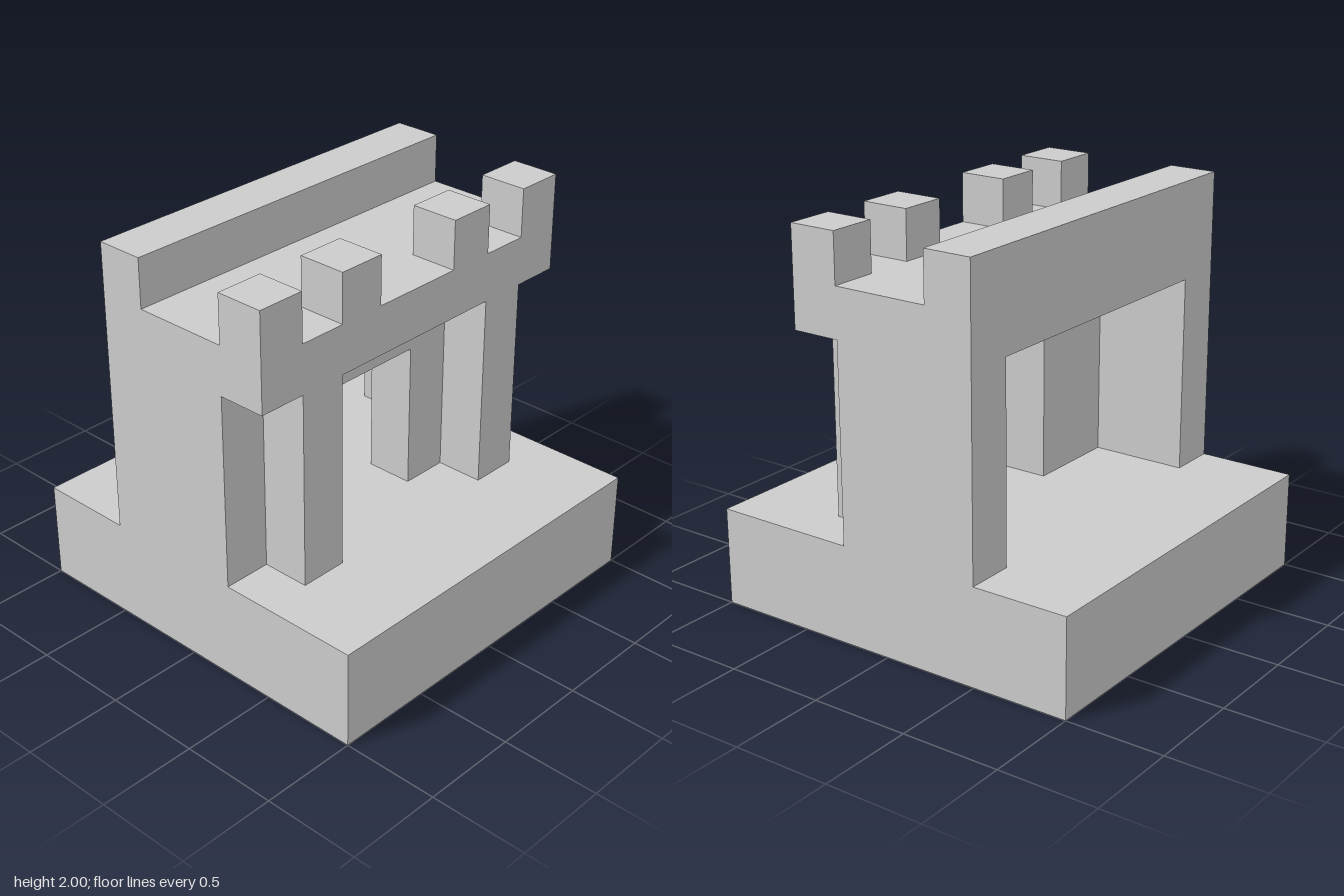
import * as THREE from 'three';

const material = new THREE.MeshStandardMaterial({ color: 0xcccccc, flatShading: true });

// Box given by its minimum and maximum corners
function block(name, [x0, y0, z0], [x1, y1, z1]) {
  const geometry = new THREE.BoxGeometry(x1 - x0, y1 - y0, z1 - z0);
  geometry.translate((x0 + x1) / 2, (y0 + y1) / 2, (z0 + z1) / 2);
  const mesh = new THREE.Mesh(geometry, material);
  mesh.name = name;
  return mesh;
}

// Wall standing on the plinth with a doorway open at the bottom
function archedWall(name, openHalf, openTop, z0, z1) {
  const shape = new THREE.Shape([
    [-1, 0.5], [-openHalf, 0.5], [-openHalf, openTop], [openHalf, openTop],
    [openHalf, 0.5], [1, 0.5], [1, 1.75], [-1, 1.75],
  ].map(([x, y]) => new THREE.Vector2(x, y)));
  const geometry = new THREE.ExtrudeGeometry(shape, { depth: z1 - z0, bevelEnabled: false });
  geometry.translate(0, 0, z0);
  const mesh = new THREE.Mesh(geometry, material);
  mesh.name = name;
  return mesh;
}

export function createModel() {
  const model = new THREE.Group();
  model.name = 'gatehouse';

  // Plinth
  model.add(block('base', [-1, 0, -1], [1, 0.5, 1]));

  // Narrow doorway in front, wide recess behind it
  model.add(archedWall('doorWall', 0.25, 1.25, 0, 0.25));
  model.add(archedWall('rearRecess', 0.75, 1.5, -0.5, 0));

  // Overhanging front ledge and solid rear parapet
  model.add(block('frontLedge', [-1, 1.5, 0.25], [1, 1.75, 0.5]));
  model.add(block('rearParapet', [-1, 1.75, -0.5], [1, 2, -0.25]));

  // Mirrored pillars under the ledge and battlements above it
  for (const [side, s] of [['left', 1], ['right', -1]]) {
    const pair = (name, a, b, y0, y1) => model.add(
      block(side + name, [Math.min(s * a, s * b), y0, 0.25], [Math.max(s * a, s * b), y1, 0.5]));
    pair('Pillar', 0.5, 0.75, 0.5, 1.5);
    pair('InnerMerlon', 0.25, 0.5, 1.75, 2);
    pair('OuterMerlon', 0.75, 1, 1.75, 2);
  }
  return model;
}
